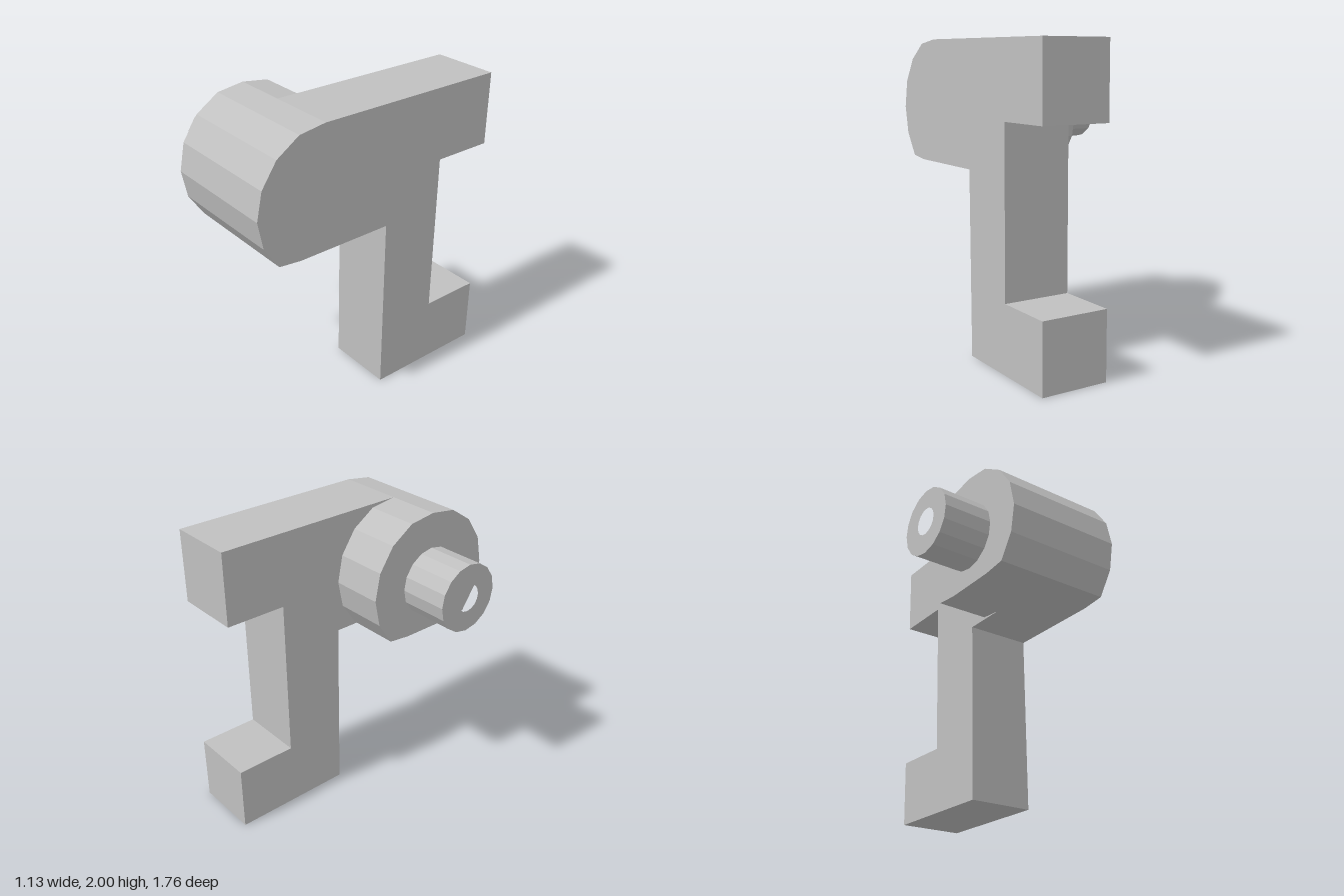
import * as THREE from 'three';

const CY = 1.545, CZ = 0.42; // axis shared by boss, pin and bore
const SIDES = 16;

// [z, y] points on a faceted circle around the axis, from step a to step b
function arc(r, a, b) {
  const pts = [];
  for (let i = a; i <= b; i++) {
    const t = (i / SIDES) * Math.PI * 2;
    const y = CY + r * Math.sin(t);
    pts.push([CZ + r * Math.cos(t), Math.min(2, Math.max(1.2, y))]);
  }
  return pts;
}

const toVectors = (pts) => pts.map(([z, y]) => new THREE.Vector2(-z, y));

// Extrudes a side profile of [z, y] points from x0 to x1
function slab(name, material, pts, x0, x1, hole) {
  const shape = new THREE.Shape(toVectors(pts));
  if (hole) shape.holes.push(new THREE.Path(toVectors(hole)));
  const geo = new THREE.ExtrudeGeometry(shape, { depth: x1 - x0, bevelEnabled: false });
  geo.rotateY(Math.PI / 2);
  geo.translate(x0, 0, 0);
  const mesh = new THREE.Mesh(geo, material);
  mesh.name = name;
  return mesh;
}

export function createModel() {
  const group = new THREE.Group();
  group.name = 'bracket';
  const grey = new THREE.MeshStandardMaterial({ color: 0xc0c0c0 });
  grey.name = 'grey';

  // C-shaped arm with a rounded nose
  const arm = [
    ...arc(0.465, -3, 4),
    [-0.88, 1.995], [-0.88, 1.52], [-0.48, 1.52], [-0.475, 0.445],
    [-0.88, 0.445], [-0.88, 0], [-0.055, 0], [-0.05, 1.2],
  ];
  group.add(slab('arm', grey, arm, 0.12, 0.565));

  // Round boss with a flat underside
  group.add(slab('boss', grey, arc(0.465, 0, SIDES - 1), -0.235, 0.12));

  // Hollow pin
  group.add(slab('pin', grey, arc(0.225, 0, SIDES - 1), -0.565, -0.235, arc(0.09, 0, SIDES - 1)));
  return group;
}
